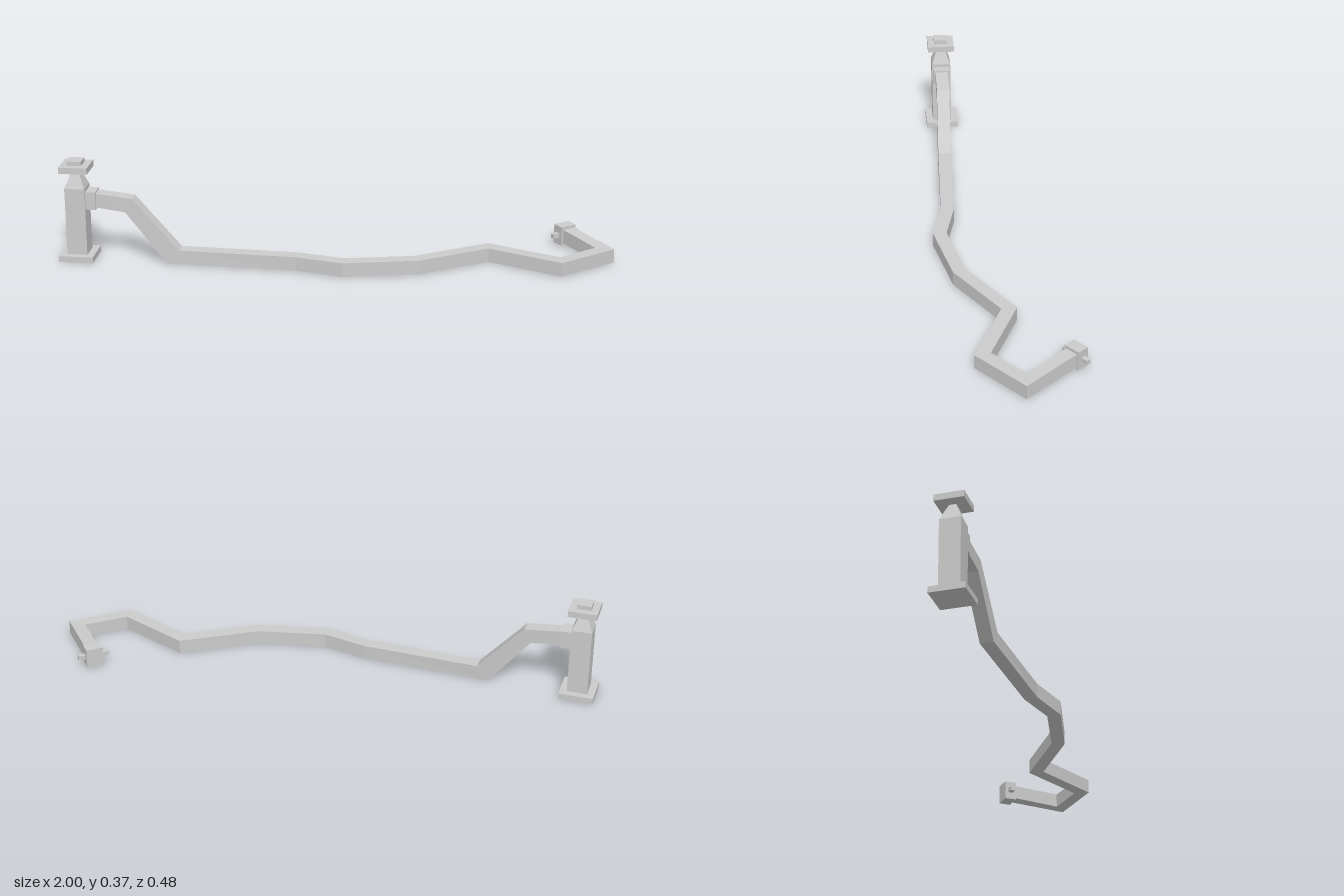
import * as THREE from 'three';

const material = new THREE.MeshStandardMaterial({ color: 0xcccccc, flatShading: true });

function add(parent, geometry, name, x, y, z) {
  const mesh = new THREE.Mesh(geometry, material);
  mesh.name = name;
  mesh.position.set(x, y, z);
  parent.add(mesh);
  return mesh;
}

// Square block, optionally narrower at the top, sitting on height y0
function squareBlock(parent, name, y0, y1, bottom, top = bottom) {
  const g = new THREE.CylinderGeometry(top * Math.SQRT2, bottom * Math.SQRT2, y1 - y0, 4);
  g.rotateY(Math.PI / 4);
  return add(parent, g, name, 0, (y0 + y1) / 2, 0);
}

// Square tube with mitred corners; each point is [x, y, z, lean of the section along x]
function hoseGeometry(points, halfWidth, halfHeight) {
  const flat = points.map(([x, , z]) => new THREE.Vector2(x, z));
  const rings = points.map(([x, y, z, lean = 0], i) => {
    const a = flat[i].clone().sub(flat[Math.max(i - 1, 0)]).normalize();
    const b = flat[Math.min(i + 1, flat.length - 1)].clone().sub(flat[i]).normalize();
    const t = a.clone().add(b).normalize();
    const w = halfWidth / t.dot(i ? a : b);
    const side = new THREE.Vector3(-t.y * w, 0, t.x * w);
    const up = new THREE.Vector3(lean, halfHeight, 0);
    return [[1, 1], [1, -1], [-1, -1], [-1, 1]].map(([s, u]) =>
      new THREE.Vector3(x, y, z).addScaledVector(side, s).addScaledVector(up, u));
  });
  const position = [];
  const quad = (a, b, c, d) => [a, b, c, a, c, d].forEach((v) => position.push(v.x, v.y, v.z));
  for (let i = 0; i < rings.length - 1; i++) {
    for (let k = 0; k < 4; k++) {
      const n = (k + 1) % 4;
      quad(rings[i][k], rings[i][n], rings[i + 1][n], rings[i + 1][k]);
    }
  }
  const [s, e] = [rings[0], rings[rings.length - 1]];
  quad(s[3], s[2], s[1], s[0]);
  quad(e[0], e[1], e[2], e[3]);
  const g = new THREE.BufferGeometry();
  g.setAttribute('position', new THREE.Float32BufferAttribute(position, 3));
  g.computeVertexNormals();
  return g;
}

export function createModel() {
  const model = new THREE.Group();
  model.name = 'hydrantWithHose';

  // Hydrant post
  const hydrant = new THREE.Group();
  hydrant.name = 'hydrant';
  hydrant.position.set(-0.937, 0, 0.151);
  model.add(hydrant);
  squareBlock(hydrant, 'basePlate', 0, 0.022, 0.063);
  squareBlock(hydrant, 'post', 0.022, 0.273, 0.037);
  squareBlock(hydrant, 'taperedNeck', 0.273, 0.335, 0.037, 0.012);
  squareBlock(hydrant, 'capPlate', 0.335, 0.358, 0.052);
  squareBlock(hydrant, 'capKnob', 0.358, 0.374, 0.026);
  add(hydrant, new THREE.BoxGeometry(0.042, 0.066, 0.063), 'outlet', 0.053, 0.228, 0);

  // Hose dropping from the outlet and winding over the ground
  const path = [
    [-0.88, 0.231, 0.151],
    [-0.742, 0.215, 0.153, 0.013],
    [-0.583, 0.0265, 0.16, 0.022],
    [-0.13, 0.0265, 0.175],
    [0.04, 0.0265, 0.213],
    [0.297, 0.0265, 0.158],
    [0.548, 0.0265, 0.003],
    [0.81, 0.0265, 0.115],
    [0.967, 0.0275, -0.017],
    [0.83, 0.0385, -0.185],
  ];
  add(model, hoseGeometry(path, 0.0245, 0.0262), 'hose', 0, 0, 0);

  // Coupling at the free end, with a crossbar through it
  const coupling = new THREE.Group();
  coupling.name = 'coupling';
  coupling.position.set(0.822, 0.039, -0.195);
  coupling.rotation.y = Math.atan2(0.137, 0.168);
  model.add(coupling);
  add(coupling, new THREE.BoxGeometry(0.064, 0.072, 0.045), 'couplingBlock', 0, 0, 0);
  add(coupling, new THREE.BoxGeometry(0.115, 0.017, 0.017), 'crossbar', 0, 0, 0);

  return model;
}
